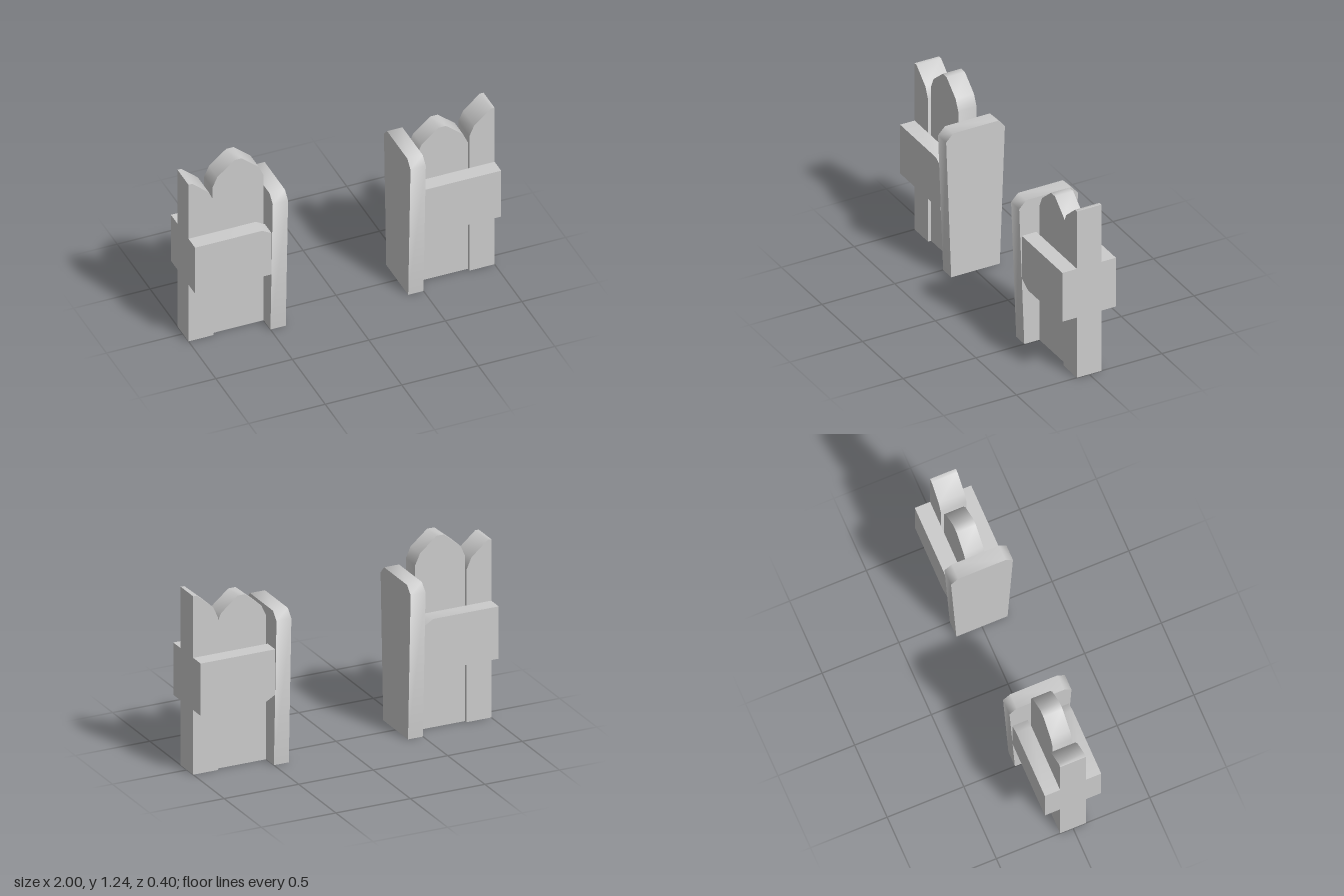
import * as THREE from 'three';
import { toCreasedNormals } from 'three/addons/utils/BufferGeometryUtils.js';

const material = new THREE.MeshStandardMaterial({ color: 0xcccccc });

// Board cut from an outline, from depth z0 to z1; bevelled ends shade softly
function board(name, points, z0, z1) {
  const shape = new THREE.Shape(points.map(([x, y]) => new THREE.Vector2(x, y)));
  const solid = new THREE.ExtrudeGeometry(shape, { depth: z1 - z0, bevelEnabled: false });
  solid.translate(0, 0, z0);
  const mesh = new THREE.Mesh(toCreasedNormals(solid, 1.0), material);
  mesh.name = name;
  return mesh;
}

// Fence half; side is -1 or 1, top is the height of the full picket
function fenceHalf(name, side, top, notchAtTop) {
  const half = new THREE.Group();
  half.name = name;
  const mirror = (pts) => pts.map(([x, y]) => [x * side, y]);

  // Full picket with a pointed, blunted tip
  const c = 0.667;
  half.add(board('picket', mirror([
    [0.5, 0], [0.835, 0], [0.835, top - 0.165], [0.803, top - 0.094],
    [c + 0.024, top], [c - 0.024, top], [0.532, top - 0.094], [0.5, top - 0.165],
  ]), -0.063, 0.063));

  // Half picket ending flat at the outer edge
  half.add(board('outerPicket', mirror([
    [0.835, 0], [1, 0], [1, 1.16], [0.976, 1.16], [0.867, 1.066], [0.835, 0.995],
  ]), -0.084, 0.084));

  // Rails on both faces, one corner trimmed where they meet the post
  const rail = notchAtTop
    ? [[0.5, 0.42], [1, 0.42], [1, 0.76], [0.56, 0.76], [0.5, 0.725]]
    : [[0.5, 0.465], [0.577, 0.42], [1, 0.42], [1, 0.76], [0.5, 0.76]];
  half.add(board('frontRail', mirror(rail), 0.084, 0.184));
  half.add(board('backRail', mirror(rail), -0.184, -0.084));

  // Tapered gate post, outlined in depth and turned to lie across x
  const post = board('post', [
    [-0.167, 0], [0.167, 0], [0.202, 0.95], [0.154, 1], [-0.154, 1], [-0.202, 0.95],
  ], -0.05, 0.05);
  post.rotation.y = Math.PI / 2;
  post.position.x = 0.45 * side;
  half.add(post);
  return half;
}

export function createModel() {
  const model = new THREE.Group();
  model.name = 'fenceGateway';
  model.add(fenceHalf('rightFence', -1, 1.24, true));
  model.add(fenceHalf('leftFence', 1, 1.1, false));
  return model;
}
